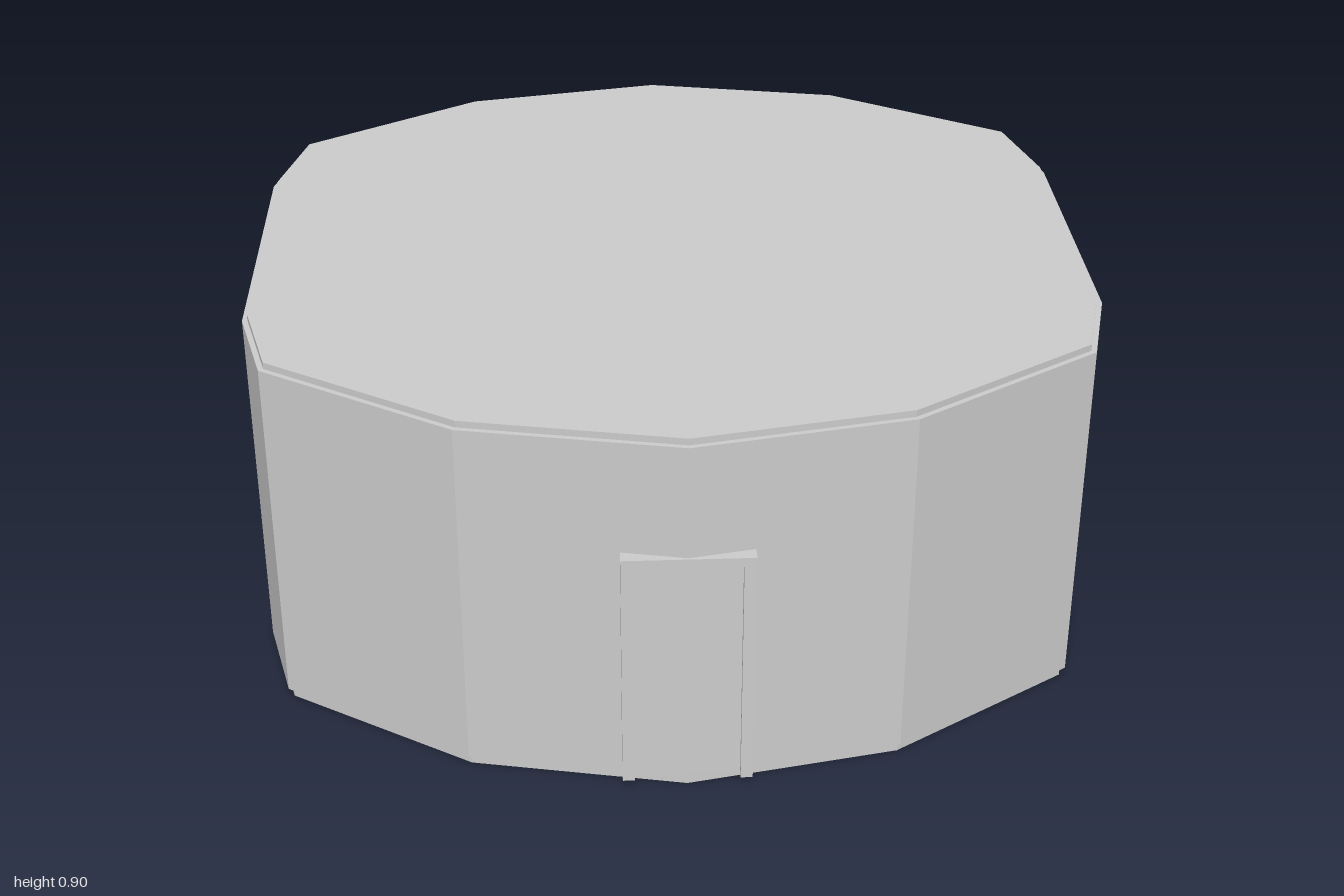
import * as THREE from 'three';

const material = new THREE.MeshStandardMaterial({ color: 0xcccccc, flatShading: true });

// Mirror one quadrant of the plan (listed from the front towards the side) into a closed outline.
function outline(quadrant, scale = 1) {
  const half = [...quadrant, ...quadrant.map(([x, z]) => [x, -z]).reverse()];
  const all = [...half, ...half.map(([x, z]) => [-x, z]).reverse()];
  const points = all.map(([x, z]) => new THREE.Vector2(x * scale, z * scale));
  return points.filter((p, i) => i === 0 || p.distanceTo(points[i - 1]) > 1e-4);
}

// Upright prism standing on a plan outline.
function slab(name, points, y0, y1) {
  const geometry = new THREE.ExtrudeGeometry(new THREE.Shape(points), { depth: y1 - y0, bevelEnabled: false });
  geometry.rotateX(-Math.PI / 2);
  geometry.translate(0, y0, 0);
  const mesh = new THREE.Mesh(geometry, material);
  mesh.name = name;
  return mesh;
}

// Doorway facing +z: a frame open at the bottom and a slightly recessed panel.
function doorway(name, face, recess) {
  const group = new THREE.Group();
  group.name = name;
  const w = 0.145, inner = 0.118, y0 = 0.025, y1 = 0.61, yInner = 0.588, depth = 0.06;
  const shape = new THREE.Shape([
    [-w, y0], [-inner, y0], [-inner, yInner], [inner, yInner],
    [inner, y0], [w, y0], [w, y1], [-w, y1],
  ].map(([x, y]) => new THREE.Vector2(x, y)));
  const frame = new THREE.Mesh(new THREE.ExtrudeGeometry(shape, { depth, bevelEnabled: false }), material);
  frame.name = 'doorFrame';
  frame.position.z = face - depth;
  const panel = new THREE.Mesh(new THREE.BoxGeometry(inner * 2, yInner - y0, 0.05), material);
  panel.name = 'doorPanel';
  panel.position.set(0, (y0 + yInner) / 2, face - recess - 0.025);
  group.add(frame, panel);
  return group;
}

export function createModel() {
  const model = new THREE.Group();
  model.name = 'roundRoom';

  const sides = [[0.49, 0.875], [0.92, 0.6], [0.98, 0.365]];
  const plan = [[0, 0.972], ...sides];
  // The front and back ridges are cut flat behind the doors.
  const doorPlan = [[0.086, 0.955], ...sides];

  // Floor, walls and roof
  model.add(slab('floorSlab', outline(plan, 0.988), 0, 0.025));
  model.add(slab('lowerWall', outline(doorPlan), 0.025, 0.588));
  model.add(slab('upperWall', outline(plan), 0.588, 0.88));
  model.add(slab('roofSlab', outline(plan, 0.988), 0.88, 0.896));

  // One doorway on each of the four sides
  ['frontDoorway', 'leftDoorway', 'backDoorway', 'rightDoorway'].forEach((name, i) => {
    const onSide = i % 2 === 1;
    const door = doorway(name, onSide ? 1 : 0.977, 0.015);
    door.rotation.y = i * Math.PI / 2;
    if (onSide) door.position.z = -0.01;
    model.add(door);
  });

  return model;
}
